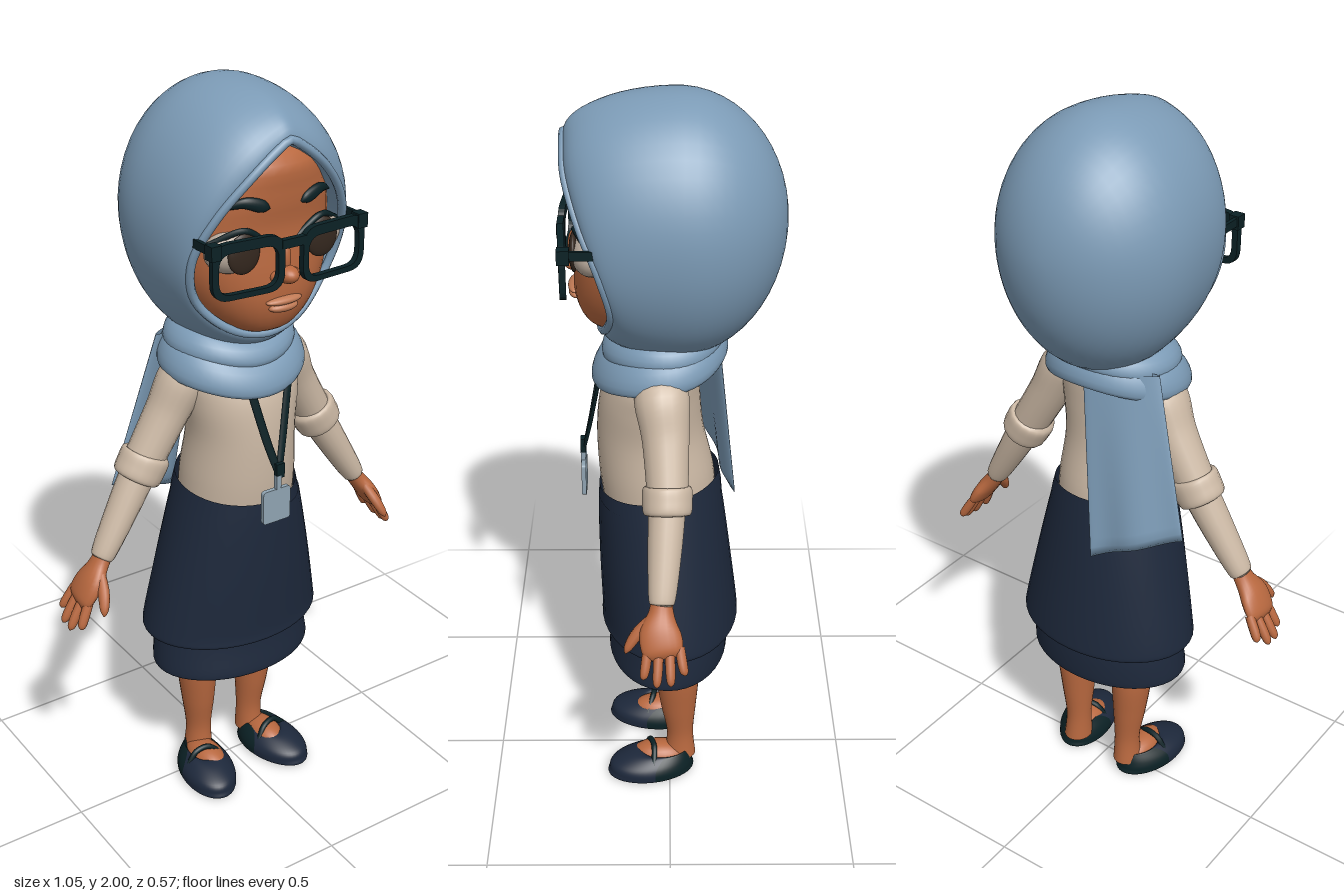
import * as THREE from 'three';
import { mergeVertices } from 'three/addons/utils/BufferGeometryUtils.js';

const V = (x, y, z) => new THREE.Vector3(x, y, z);
const lerp = THREE.MathUtils.lerp;
const mat = (name, color, side = THREE.FrontSide) => {
  const m = new THREE.MeshStandardMaterial({ color, side });
  m.name = name;
  return m;
};

// Smooth surface from a rule f(u, v) -> Vector3
function grid(f, nu, nv) {
  const pos = [], idx = [];
  for (let j = 0; j <= nv; j++)
    for (let i = 0; i <= nu; i++) pos.push(...f(i / nu, j / nv).toArray());
  for (let j = 0; j < nv; j++)
    for (let i = 0; i < nu; i++) {
      const a = j * (nu + 1) + i, b = a + nu + 1;
      idx.push(a, b, a + 1, a + 1, b, b + 1);
    }
  let g = new THREE.BufferGeometry();
  g.setAttribute('position', new THREE.Float32BufferAttribute(pos, 3));
  g.setIndex(idx);
  g = mergeVertices(g, 1e-5);
  g.computeVertexNormals();
  return g;
}

// Catmull-Rom blend of section rows
function blend(rows, t) {
  const n = rows.length - 1, k = Math.min(Math.floor(t * n), n - 1), f = t * n - k;
  const r = i => rows[Math.max(0, Math.min(n, i))];
  return rows[0].map((_, c) => {
    const [a, b, d, e] = [r(k - 1)[c], r(k)[c], r(k + 1)[c], r(k + 2)[c]];
    return b + 0.5 * f * (d - a + f * (2 * a - 5 * b + 4 * d - e + f * (3 * (b - d) + e - a)));
  });
}

// Horizontal sections, bottom to top: [x, y, z, rx, rz]; e squares the ovals
function loft(rows, { e = 2, a0 = 0, a1 = Math.PI * 2, nu = 40, nv = 32 } = {}) {
  const p = w => Math.sign(w) * Math.abs(w) ** (2 / e);
  return grid((u, v) => {
    const [x, y, z, rx, rz] = blend(rows, v), a = u === 1 && a1 > 6 ? 0 : lerp(a0, a1, u);
    return V(x + Math.max(rx, 0) * p(Math.cos(a)), y, z + Math.max(rz, 0) * p(Math.sin(a)));
  }, nu, nv);
}

// Tapered limb along a path: [x, y, z, width, depth]
function limb(rows, nu = 18, nv = 20) {
  const at = t => { const r = blend(rows, t); return V(r[0], r[1], r[2]); };
  return grid((u, v) => {
    const r = blend(rows, v), a = (u % 1) * Math.PI * 2;
    const T = at(Math.min(1, v + 0.01)).sub(at(Math.max(0, v - 0.01))).normalize();
    const A = T.clone().cross(V(0, 0, 1)).normalize(), B = A.clone().cross(T);
    return V(r[0], r[1], r[2]).addScaledVector(A, r[3] * Math.cos(a)).addScaledVector(B, r[4] * Math.sin(a));
  }, nu, nv);
}

const tube = (pts, r, closed = false, n = 24) =>
  new THREE.TubeGeometry(new THREE.CatmullRomCurve3(pts, closed), n, r, 8, closed);

function roundRect(P, x0, y0, x1, y1, r) {
  const s = new P();
  s.moveTo(x0 + r, y0); s.lineTo(x1 - r, y0); s.quadraticCurveTo(x1, y0, x1, y0 + r);
  s.lineTo(x1, y1 - r); s.quadraticCurveTo(x1, y1, x1 - r, y1);
  s.lineTo(x0 + r, y1); s.quadraticCurveTo(x0, y1, x0, y1 - r);
  s.lineTo(x0, y0 + r); s.quadraticCurveTo(x0, y0, x0 + r, y0);
  return s;
}

export function createModel() {
  const root = new THREE.Group();
  const cloth = mat('blueScarf', 0x7c9bb6, THREE.DoubleSide), skin = mat('skin', 0xb8683f);
  const blouse = mat('beigeBlouse', 0xccb9a5), navy = mat('navyCloth', 0x1d283b, THREE.DoubleSide);
  const dark = mat('darkFrame', 0x0b2125), white = mat('eyeWhite', 0xb9aa9c);
  const iris = mat('iris', 0x35281f), lip = mat('lips', 0xc07a55), badge = mat('badge', 0x90a4b2);
  const add = (name, geo, m, parent = root) => {
    const mesh = new THREE.Mesh(geo, m);
    mesh.name = name;
    parent.add(mesh);
    return mesh;
  };
  const ball = (name, m, p, s) => {
    const b = add(name, new THREE.SphereGeometry(1, 24, 16), m);
    b.position.set(...p); b.scale.set(...s);
    return b;
  };
  const box = (name, m, p, s, parent) => {
    const b = add(name, new THREE.BoxGeometry(...s), m, parent);
    b.position.set(...p);
    return b;
  };

  // Head and face
  add('face', loft([[0, 1.4, 0.08, 0.001, 0.001], [0, 1.41, 0.07, 0.07, 0.11], [0, 1.44, 0.04, 0.13, 0.175],
    [0, 1.5, 0.02, 0.18, 0.215], [0, 1.58, 0.02, 0.213, 0.215], [0, 1.68, 0.02, 0.22, 0.207],
    [0, 1.77, 0.02, 0.2, 0.217], [0, 1.86, 0.02, 0.14, 0.2], [0, 1.93, 0.02, 0.001, 0.001]], { e: 2.4 }), skin);
  ball('nose', skin, [0, 1.575, 0.245], [0.027, 0.022, 0.035]);
  ball('noseBridge', skin, [0, 1.61, 0.225], [0.018, 0.05, 0.025]);
  ball('upperLip', lip, [0, 1.506, 0.234], [0.052, 0.011, 0.018]);
  ball('lowerLip', lip, [0, 1.489, 0.231], [0.042, 0.013, 0.02]);
  for (const s of [1, -1]) {
    ball('nostril', skin, [s * 0.023, 1.57, 0.235], [0.018, 0.015, 0.022]);
    ball('eye', white, [s * 0.117, 1.64, 0.185], [0.075, 0.055, 0.05]);
    ball('iris', iris, [s * 0.113, 1.642, 0.228], [0.045, 0.05, 0.012]);
    add('lashes', tube([V(s * 0.045, 1.655, 0.222), V(s * 0.11, 1.696, 0.224), V(s * 0.185, 1.665, 0.185)], 0.008), dark);
    add('eyebrow', limb([[s * 0.045, 1.742, 0.232, 0.002, 0.004], [s * 0.065, 1.75, 0.233, 0.015, 0.009],
      [s * 0.11, 1.762, 0.222, 0.013, 0.009], [s * 0.155, 1.745, 0.193, 0.002, 0.004]]), dark);
  }

  // Glasses
  const glasses = new THREE.Group();
  glasses.name = 'glasses';
  root.add(glasses);
  for (const s of [1, -1]) {
    const shape = roundRect(THREE.Shape, -0.097, -0.07, 0.097, 0.07, 0.045);
    shape.holes.push(roundRect(THREE.Path, -0.08, -0.056, 0.08, 0.045, 0.035));
    const rim = add('lensRim', new THREE.ExtrudeGeometry(shape, { depth: 0.016, bevelEnabled: false, curveSegments: 6 }), dark, glasses);
    rim.position.set(s * 0.122, 1.62, 0.25);
    rim.rotation.y = s * 0.08;
    box('hinge', dark, [s * 0.211, 1.672, 0.248], [0.028, 0.036, 0.03], glasses);
    box('temple', dark, [s * 0.216, 1.675, 0.185], [0.01, 0.022, 0.13], glasses);
  }
  box('bridge', dark, [0, 1.662, 0.266], [0.07, 0.022, 0.016], glasses);

  // Hood: sweeps from the face opening over the silhouette to the back of the head
  const half = [[0.03, 1.885, 0.25], [0.1, 1.83, 0.245], [0.18, 1.73, 0.21], [0.217, 1.62, 0.165],
    [0.19, 1.51, 0.14], [0.1, 1.425, 0.16]];
  const rimPts = [V(0, 1.9, 0.25), ...half.map(p => V(-p[0], p[1], p[2])), V(0, 1.4, 0.172),
    ...half.slice().reverse().map(p => V(...p))];
  const rimCurve = new THREE.CatmullRomCurve3(rimPts, true);
  add('hood', grid((u, v) => {
    const p = rimCurve.getPoint(u % 1), a = Math.atan2(p.y - 1.68, p.x);
    const sx = 0.262 * Math.cos(a), sy = (a > 0 ? 0.32 : 0.35) * Math.sin(a);
    if (v === 0) return V(p.x * 0.93, 1.68 + (p.y - 1.68) * 0.93, p.z - 0.06);
    const w = (v - 1 / 28) / (27 / 28);
    if (w < 0.5) {
      const q = w * Math.PI, k = Math.sin(q);
      return V(lerp(p.x, sx, k), lerp(p.y, 1.68 + sy, k), lerp(-0.02, p.z, Math.cos(q)));
    }
    const q = Math.min((w - 0.5) * Math.PI, Math.PI / 2), k = Math.cos(q);
    return V(sx * k, 1.68 + sy * k, -0.02 - 0.27 * Math.sin(q));
  }, 72, 28), cloth);
  add('hoodEdge', tube(rimPts, 0.011, true, 80), cloth);

  // Neck wrap: two tilted folds
  const fold = (name, y, cz, rx, rz, h, t, tilt) => add(name, grid((u, v) => {
    const a = (u % 1) * Math.PI * 2, b = -(v % 1) * Math.PI * 2 + Math.PI;
    const d = t * Math.cos(b) - 0.4 * h * Math.sin(b);
    return V((rx + d) * Math.cos(a) - 0.012, y - tilt * Math.sin(a) + h * Math.sin(b) + 0.006 * Math.sin(3 * a),
      cz + (rz + d) * Math.sin(a));
  }, 48, 16), cloth);
  fold('neckWrapLower', 1.32, 0.025, 0.165, 0.145, 0.045, 0.025, 0.035);
  fold('neckWrapUpper', 1.365, 0.015, 0.14, 0.125, 0.035, 0.03, 0.02);

  // Scarf tail hanging over the back
  add('scarfTail', grid((u, v) => {
    const a = (u % 1) * Math.PI * 2, w = 0.5 - 0.5 * Math.cos(a);
    const t = 0.014 * Math.sin(a) * (v === 1 ? 0 : 1);
    return V(lerp(lerp(-0.01, -0.07, v), lerp(-0.19, -0.305, v), w), lerp(1.36, 0.84 + 0.1 * w, v),
      lerp(-0.125, -0.18, v) + 0.075 * w + 0.008 * Math.sin(w * 9) * v - t);
  }, 40, 20), cloth);

  // Blouse and skirt
  add('blouse', loft([[0, 0.88, 0.025, 0.155, 0.15], [0, 0.98, 0.035, 0.153, 0.152], [0, 1.1, 0.05, 0.145, 0.14],
    [0, 1.2, 0.05, 0.158, 0.13], [0, 1.27, 0.04, 0.165, 0.115], [0, 1.32, 0.03, 0.13, 0.1], [0, 1.37, 0.02, 0.07, 0.08]]), blouse);
  const skirt = loft([[0, 0.5, 0, 0.235, 0.165], [0, 0.503, 0, 0.257, 0.188], [0, 0.54, 0, 0.255, 0.188],
    [0, 0.7, 0.012, 0.222, 0.18], [0, 0.85, 0.022, 0.188, 0.17], [0, 0.955, 0.028, 0.162, 0.16]]);
  const sp = skirt.attributes.position;
  for (let i = 0; i < sp.count; i++)
    if (sp.getY(i) > 0.9) sp.setY(i, sp.getY(i) - sp.getZ(i) * 0.14);
  add('skirt', skirt, navy);
  add('underskirt', loft([[0, 0.39, 0.005, 0.225, 0.155], [0, 0.393, 0.005, 0.236, 0.166], [0, 0.46, 0, 0.228, 0.162],
    [0, 0.53, 0, 0.215, 0.155]], { nv: 12 }), navy);

  // Lanyard and badge
  for (const s of [1, -1])
    add('lanyardStrap', limb([[0, 1.03, 0.226, 0.011, 0.005], [s * 0.025, 1.12, 0.206, 0.012, 0.005],
      [s * 0.055, 1.25, 0.182, 0.012, 0.005]], 8, 10), dark);
  box('lanyardKnot', dark, [0, 1.04, 0.228], [0.024, 0.04, 0.014]);
  box('badgeClip', badge, [-0.006, 1.005, 0.23], [0.014, 0.045, 0.012]);
  const card = new THREE.ExtrudeGeometry(roundRect(THREE.Shape, -0.042, -0.047, 0.042, 0.047, 0.01), { depth: 0.012, bevelEnabled: false });
  add('badge', card, badge).position.set(-0.01, 0.943, 0.222);

  for (const s of [1, -1]) {
    // Arm
    add('upperSleeve', limb([[s * 0.1, 1.3, 0.025, 0.03, 0.05], [s * 0.15, 1.262, 0.02, 0.062, 0.07],
      [s * 0.2, 1.17, 0.01, 0.056, 0.06], [s * 0.275, 1.04, 0.005, 0.052, 0.052]]), blouse);
    add('rolledCuff', limb([[s * 0.257, 1.072, 0.006, 0.045, 0.045], [s * 0.26, 1.066, 0.006, 0.064, 0.062],
      [s * 0.276, 1.038, 0.006, 0.066, 0.064], [s * 0.293, 1.01, 0.006, 0.062, 0.06], [s * 0.296, 1.005, 0.006, 0.04, 0.04]]), blouse);
    add('forearmSleeve', limb([[s * 0.275, 1.04, 0.006, 0.048, 0.048], [s * 0.335, 0.94, 0.012, 0.042, 0.044],
      [s * 0.405, 0.825, 0.02, 0.031, 0.034], [s * 0.407, 0.822, 0.02, 0.02, 0.02]]), blouse);
    add('hand', limb([[s * 0.395, 0.84, 0.02, 0.022, 0.026], [s * 0.42, 0.8, 0.022, 0.023, 0.032],
      [s * 0.45, 0.76, 0.025, 0.024, 0.052], [s * 0.475, 0.72, 0.018, 0.019, 0.052], [s * 0.485, 0.703, 0.015, 0.003, 0.03]]), skin);
    for (const [z0, z1, x1, y1] of [[0.055, 0.066, 0.505, 0.652], [0.028, 0.033, 0.52, 0.638], [0.001, -0.002, 0.52, 0.642], [-0.024, -0.036, 0.505, 0.665]])
      add('finger', limb([[s * 0.468, 0.728, z0, 0.012, 0.013], [s * lerp(0.468, x1, 0.6), lerp(0.728, y1, 0.6), lerp(z0, z1, 0.6), 0.013, 0.013],
        [s * lerp(0.468, x1, 0.9), lerp(0.728, y1, 0.9), z1, 0.01, 0.01], [s * x1, y1, z1, 0.001, 0.001]], 10, 10), skin);
    add('thumb', limb([[s * 0.43, 0.785, 0.045, 0.013, 0.016], [s * 0.442, 0.75, 0.082, 0.015, 0.016],
      [s * 0.455, 0.715, 0.106, 0.011, 0.011], [s * 0.46, 0.7, 0.112, 0.001, 0.001]], 10, 10), skin);

    // Leg, foot and shoe
    add('leg', loft([[s * 0.09, 0.04, -0.03, 0.04, 0.045], [s * 0.088, 0.12, -0.03, 0.036, 0.038], [s * 0.092, 0.22, -0.025, 0.046, 0.05],
      [s * 0.096, 0.32, -0.022, 0.055, 0.06], [s * 0.098, 0.4, -0.018, 0.056, 0.06], [s * 0.098, 0.5, -0.01, 0.062, 0.065]], { nu: 24 }), skin);
    ball('foot', skin, [s * 0.102, 0.045, 0.03], [0.046, 0.04, 0.08]);
    const shoe = new THREE.Group();
    shoe.name = 'shoe';
    shoe.position.set(s * 0.116, 0, 0.055);
    shoe.rotation.y = s * 0.18;
    root.add(shoe);
    const rows = [[0, 0, 0, 0.001, 0.001], [0, 0.001, 0, 0.066, 0.115], [0, 0.02, 0, 0.076, 0.122], [0, 0.042, -0.003, 0.07, 0.115],
      [0, 0.062, -0.022, 0.053, 0.09], [0, 0.068, -0.04, 0.042, 0.068], [0, 0.05, -0.045, 0.034, 0.058]];
    add('shoeToe', loft(rows, { a1: Math.PI, nu: 24 }), navy, shoe);
    add('shoeHeel', loft(rows, { a0: Math.PI, a1: Math.PI * 2 - 1e-4, nu: 24 }), dark, shoe);
    add('shoeStrap', tube([V(-0.054, 0.05, 0), V(-0.03, 0.083, -0.005), V(0.01, 0.088, -0.008), V(0.054, 0.05, 0)], 0.008), dark, shoe);
  }
  return root;
}
